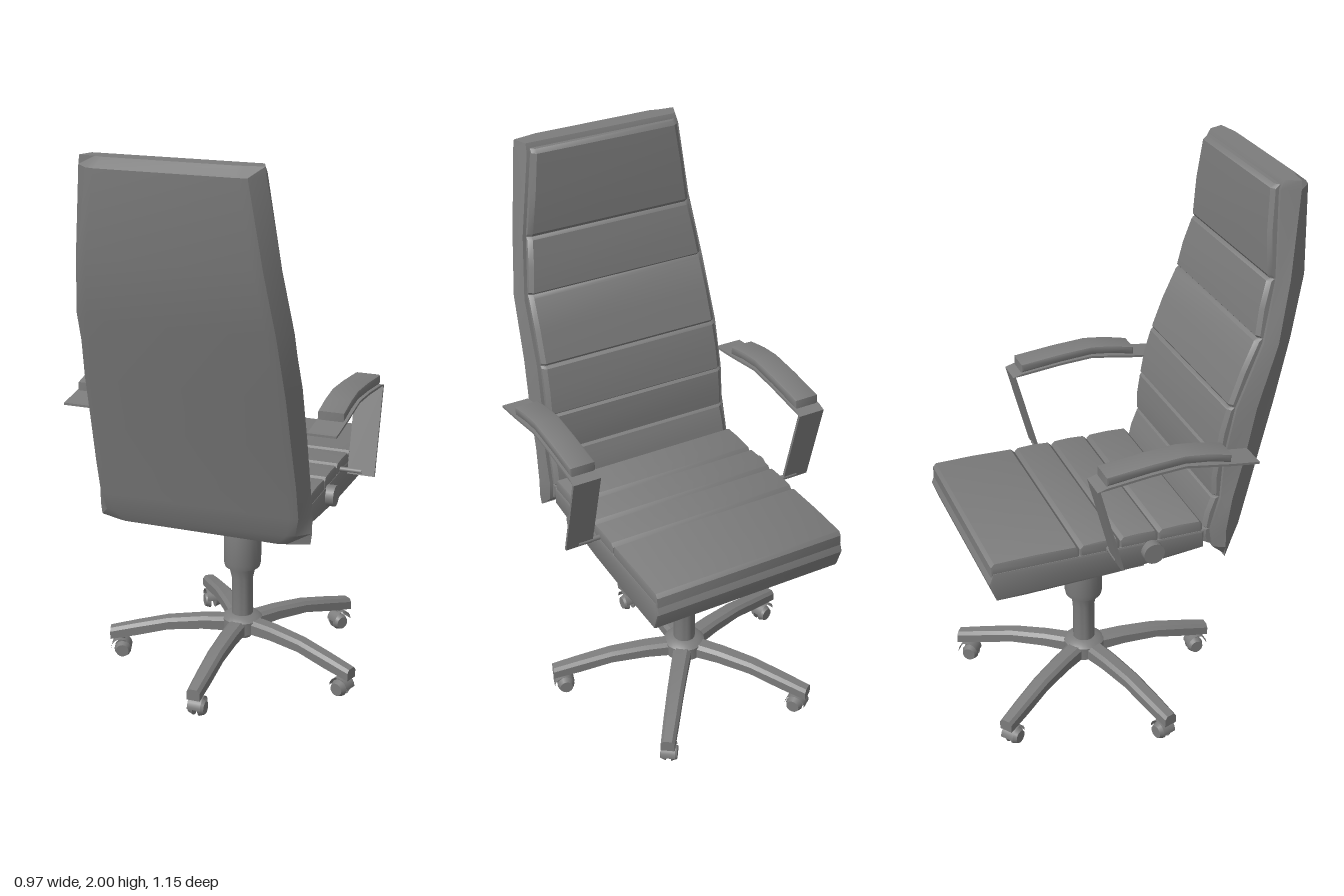
import * as THREE from 'three';
import { toCreasedNormals } from 'three/addons/utils/BufferGeometryUtils.js';

const material = new THREE.MeshStandardMaterial({ color: 0x7c7c7c, side: THREE.DoubleSide });

function add(parent, name, geometry, x = 0, y = 0, z = 0) {
  const mesh = new THREE.Mesh(geometry, material);
  mesh.name = name;
  mesh.position.set(x, y, z);
  parent.add(mesh);
  return mesh;
}

// Closed skin over stacked rings of [x, y, z] points, with both ends capped
function loft(rings, crease = 0.5) {
  const n = rings[0].length, index = [];
  for (let i = 0; i < rings.length - 1; i++) {
    for (let j = 0; j < n; j++) {
      const a = i * n + j, b = i * n + (j + 1) % n;
      index.push(a, b, b + n, a, b + n, a + n);
    }
  }
  const top = (rings.length - 1) * n;
  for (let j = 1; j < n - 1; j++) index.push(0, j + 1, j, top, top + j, top + j + 1);
  const g = new THREE.BufferGeometry();
  g.setAttribute('position', new THREE.Float32BufferAttribute(rings.flat(2), 3));
  g.setIndex(index);
  return toCreasedNormals(g, crease);
}

const toShape = points => new THREE.Shape(points.map(p => new THREE.Vector2(...p)));

// Side profile of [z, y] points drawn out across x
function across(points, width, bevel = 0) {
  const g = new THREE.ExtrudeGeometry(toShape(points), {
    depth: width - 2 * bevel, bevelEnabled: bevel > 0, bevelSize: bevel,
    bevelThickness: bevel, bevelOffset: -bevel, bevelSegments: 2,
  });
  g.translate(0, 0, -width / 2 + bevel);
  g.rotateY(-Math.PI / 2);
  return toCreasedNormals(g, 0.5);
}

// Backrest rows: height, outer half width, front z, edge z, back z, back half width
const rows = [
  [0.69, 0.385, 0.25, 0.27, 0.305, 0.31],
  [0.73, 0.39, 0.205, 0.27, 0.322, 0.345],
  [0.80, 0.39, 0.195, 0.27, 0.337, 0.36],
  [0.92, 0.387, 0.23, 0.29, 0.366, 0.36],
  [1.07, 0.385, 0.24, 0.33, 0.405, 0.355],
  [1.25, 0.38, 0.28, 0.37, 0.452, 0.35],
  [1.47, 0.375, 0.37, 0.44, 0.51, 0.335],
  [1.68, 0.347, 0.42, 0.485, 0.56, 0.31],
  [1.97, 0.309, 0.435, 0.525, 0.578, 0.265],
  [2.00, 0.305, 0.45, 0.525, 0.54, 0.25],
];
function rowAt(y) {
  let i = 0;
  while (i < rows.length - 2 && rows[i + 1][0] < y) i++;
  const t = (y - rows[i][0]) / (rows[i + 1][0] - rows[i][0]);
  return rows[i].map((v, k) => v + (rows[i + 1][k] - v) * t);
}

function backrest() {
  const group = new THREE.Group();
  group.name = 'backrest';
  // Tapered shell
  add(group, 'backShell', loft(rows.map(([y, w, zf, zo, zb, wb]) => {
    const f = w - 0.02, s = zf + 0.025;
    return [[w, y, zo], [f, y, s], [-f, y, s], [-w, y, zo],
      [-wb, y, zb - 0.008], [-wb + 0.03, y, zb], [wb - 0.03, y, zb], [wb, y, zb - 0.008]];
  })));
  // Horizontal cushions with fine seams between them
  const seams = [0.74, 0.8, 0.92, 1.07, 1.25, 1.485, 1.68, 1.985];
  for (let i = 0; i < seams.length - 1; i++) {
    const a = seams[i] + 0.001, b = seams[i + 1] - 0.001;
    const rings = [0, 0.04, 0.5, 0.96, 1].map(t => {
      const [y, w, zf] = rowAt(a + (b - a) * t);
      const z = zf + (t === 0 || t === 1 ? 0.01 : t === 0.5 ? -0.004 : 0.001);
      const h = w - 0.032, back = zf + 0.05;
      return [[h, y, back], [h, y, z + 0.012], [h - 0.015, y, z],
        [-h + 0.015, y, z], [-h, y, z + 0.012], [-h, y, back]];
    });
    add(group, 'backCushion', loft(rings, 0.6));
  }
  return group;
}

function seat() {
  const group = new THREE.Group();
  group.name = 'seat';
  add(group, 'seatBase', across([[0.2, 0.73], [0.2, 0.8], [-0.56, 0.8], [-0.575, 0.76],
    [-0.55, 0.69], [-0.45, 0.69], [-0.12, 0.7], [0.1, 0.72]], 0.725, 0.008));
  // Cushion rolls from the front edge to the back
  const seams = [-0.568, -0.255, -0.11, 0.03, 0.195];
  for (let i = 0; i < seams.length - 1; i++) {
    const a = seams[i] + 0.001, b = seams[i + 1] - 0.001;
    add(group, 'seatCushion', across([[b, 0.785], [b, 0.824], [b - 0.012, 0.837],
      [(a + b) / 2, 0.84], [a + 0.012, 0.837], [a, 0.824], [a, 0.785]], 0.718, 0.006));
  }
  // Swivel mount under the seat
  add(group, 'mountCone', new THREE.CylinderGeometry(0.1, 0.035, 0.035, 20), 0, 0.675, -0.115);
  for (const s of [-1, 1]) {
    add(group, 'tiltKnob', new THREE.BoxGeometry(0.012, 0.025, 0.03), s * 0.042, 0.62, -0.115);
    // Open triangular support reaching towards the armrest
    const frame = toShape([[s * 0.04, 0.115], [s * 0.33, 0.21], [s * 0.33, 0.01]]);
    frame.holes.push(toShape([[s * 0.13, 0.113], [s * 0.305, 0.17], [s * 0.305, 0.05]]));
    const g = new THREE.ExtrudeGeometry(frame, { depth: 0.03, bevelEnabled: false });
    add(group, 'seatSupport', g.rotateX(-Math.PI / 2), 0, 0.684, 0);
  }
  return group;
}

function armrest(side) {
  const group = new THREE.Group();
  group.name = side > 0 ? 'leftArmrest' : 'rightArmrest';
  // Arched pad
  add(group, 'armPad', across([[0.235, 1.125], [0.235, 1.155], [0.15, 1.174], [0.07, 1.183],
    [-0.05, 1.175], [-0.205, 1.158], [-0.205, 1.125], [-0.05, 1.143], [0.07, 1.152], [0.15, 1.143]],
  0.092, 0.007), side * 0.436);
  // Thin metal strip: tail, rail below the pad, front post
  const path = [[0.335, 1.11], [0.235, 1.122], [0.07, 1.148], [-0.05, 1.14], [-0.205, 1.122],
    [-0.238, 1.112], [-0.155, 0.795]];
  const inner = path.slice().reverse().map(([z, y], i) => [z + (i < 2 ? 0.01 : 0), y - (i < 2 ? 0 : 0.008)]);
  add(group, 'armStrip', across([...path, ...inner], 0.1), side * 0.437);
  // Slim pin from the post to the seat, and a round boss on the seat side
  const pin = new THREE.CylinderGeometry(0.009, 0.009, 0.09, 10).rotateZ(Math.PI / 2);
  add(group, 'armPin', pin, side * 0.395, 0.806, -0.153);
  const boss = new THREE.CylinderGeometry(0.038, 0.038, 0.04, 20).rotateZ(Math.PI / 2);
  add(group, 'armBoss', boss, side * 0.372, 0.765, 0.003);
  return group;
}

function leg(angle) {
  const group = new THREE.Group();
  group.name = 'baseLeg';
  // Arched spoke, narrowing towards its tip
  const spoke = [[0.03, 0.182, 0.13, 0.034], [0.15, 0.181, 0.135, 0.032],
    [0.28, 0.17, 0.128, 0.03], [0.4, 0.145, 0.1, 0.028], [0.5, 0.122, 0.08, 0.025]];
  add(group, 'spoke', loft(spoke.map(([z, t, b, w]) =>
    [[w, b, z], [w, t - 0.012, z], [w * 0.6, t, z], [-w * 0.6, t, z], [-w, t - 0.012, z], [-w, b, z]]), 0.7));
  // Twin-wheel caster under a curved hood
  add(group, 'casterStem', new THREE.CylinderGeometry(0.01, 0.01, 0.06, 10), 0, 0.085, 0.455);
  for (const s of [-1, 1]) {
    const wheel = new THREE.CylinderGeometry(0.024, 0.032, 0.02, 16).rotateZ(-s * Math.PI / 2);
    add(group, 'casterWheel', wheel, s * 0.02, 0.033, 0.455);
  }
  const hood = new THREE.CylinderGeometry(0.038, 0.038, 0.05, 14, 1, true, 0, Math.PI).rotateZ(Math.PI / 2);
  add(group, 'casterHood', hood, 0, 0.04, 0.46);
  group.rotation.y = angle;
  return group;
}

function base() {
  const group = new THREE.Group();
  group.name = 'swivelBase';
  group.position.z = -0.115;
  // Gas lift column in one turned profile
  const profile = [[0, 0.1], [0.035, 0.1], [0.04, 0.13], [0.075, 0.13], [0.075, 0.178], [0.06, 0.19], [0.04, 0.195],
    [0.04, 0.34], [0.05, 0.385], [0.066, 0.39], [0.07, 0.41], [0.07, 0.55], [0.062, 0.585], [0.05, 0.595],
    [0.03, 0.597], [0.03, 0.7], [0, 0.7]];
  const lathe = new THREE.LatheGeometry(profile.map(p => new THREE.Vector2(...p)), 24);
  add(group, 'column', toCreasedNormals(lathe, 0.6));
  for (let i = 0; i < 5; i++) group.add(leg(i * Math.PI * 2 / 5));
  return group;
}

export function createModel() {
  const model = new THREE.Group();
  model.name = 'officeChair';
  model.add(backrest(), seat(), armrest(1), armrest(-1), base());
  return model;
}
